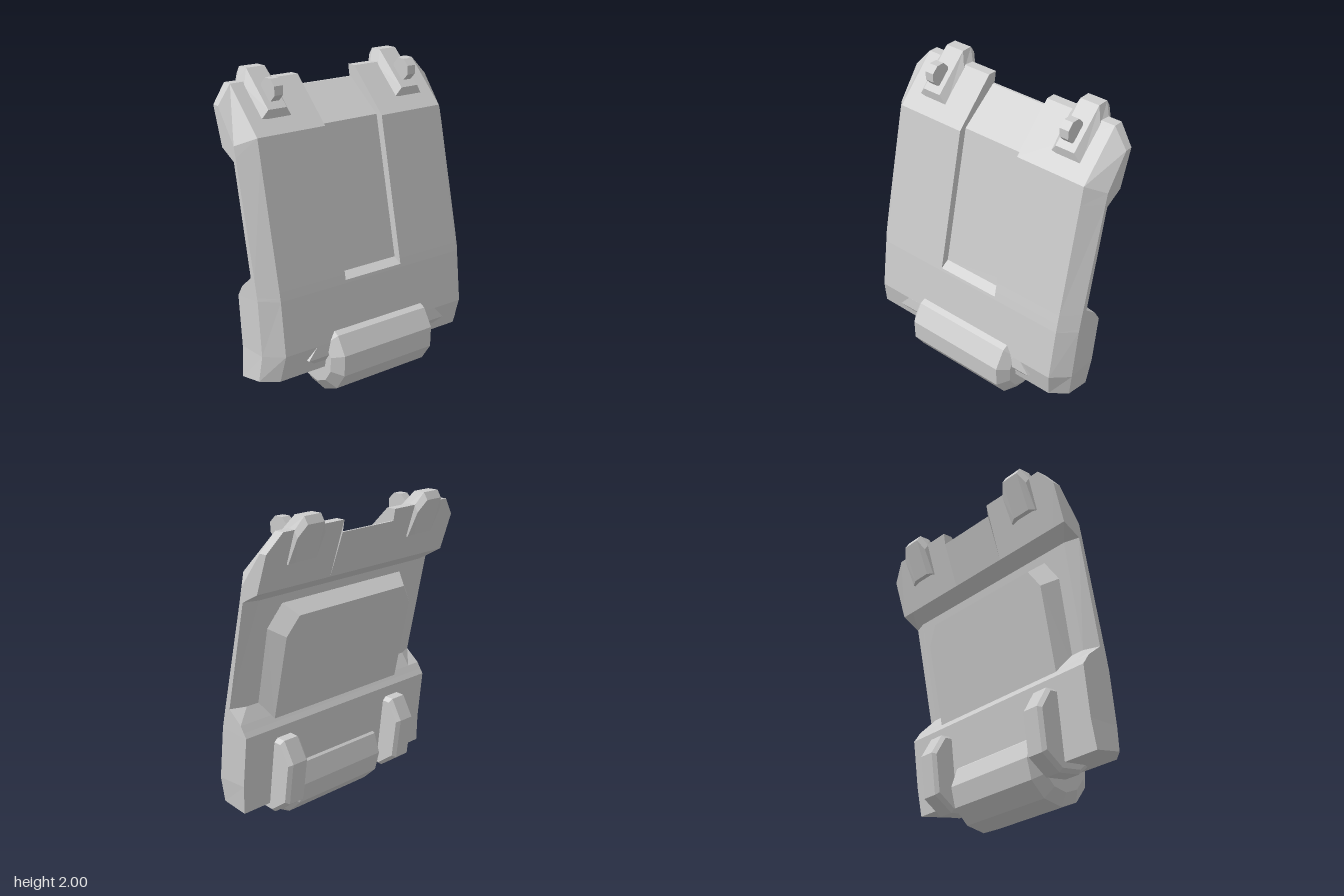
import * as THREE from 'three';

const grey = new THREE.MeshStandardMaterial({ color: 0xcccccc });

// Skin a list of equal-length, even-sized rings of [x, y, z] and cap both ends
function loft(rings) {
  const pos = [];
  const quad = (a, b, c, d) => pos.push(...a, ...b, ...c, ...a, ...c, ...d);
  const n = rings[0].length;
  for (let i = 0; i < rings.length - 1; i++) {
    for (let j = 0; j < n; j++) {
      const k = (j + 1) % n;
      quad(rings[i][j], rings[i][k], rings[i + 1][k], rings[i + 1][j]);
    }
  }
  const first = rings[0], last = rings[rings.length - 1];
  for (let k = 0; k < n / 2 - 1; k++) {
    quad(last[k], last[k + 1], last[n - 2 - k], last[n - 1 - k]);
    quad(first[n - 1 - k], first[n - 2 - k], first[k + 1], first[k]);
  }
  const g = new THREE.BufferGeometry();
  g.setAttribute('position', new THREE.Float32BufferAttribute(pos, 3));
  g.computeVertexNormals();
  return g;
}

// Flat facets on a built-in geometry
function faceted(g) {
  const flat = g.toNonIndexed();
  flat.computeVertexNormals();
  return flat;
}

// A clockwise [z, y] side profile placed at x
const sideRing = (profile, x) => profile.map(([z, y]) => [x, y, z]).reverse();

function bodyGeometry() {
  // Stations up the shell: front, side edge, back as [z, y]; channel depth, back chamfer, x shift
  const stations = [
    { f: [0.235, 0.20], s: [0.155, 0.20], b: [-0.02, 0.17], x: -0.015 },
    { f: [0.268, 0.365], s: [0.165, 0.36], b: [-0.042, 0.36], x: 0.005 },
    { f: [0.22, 0.70], s: [0.125, 0.70], b: [-0.08, 0.68] },
    { f: [0.216, 0.72], s: [0.12, 0.72], b: [-0.06, 0.71] },
    { f: [0.209, 0.755], s: [0.113, 0.755], b: [-0.035, 0.75], d: 0.05 },
    { f: [0.195, 0.82], s: [0.099, 0.82], b: [0.02, 0.83], d: 0.05, c: 0.04 },
    { f: [0.045, 1.53], s: [-0.06, 1.53], b: [-0.11, 1.505], d: 0.05, c: 0.03 },
    { f: [0.02, 1.65], s: [-0.077, 1.60], b: [-0.20, 1.57], d: 0.05 },
    { f: [-0.25, 1.925], s: [-0.23, 1.81], b: [-0.313, 1.925], top: true },
  ];
  return loft(stations.map(({ f, s, b, d = 0, c = 0, x = 0.01, top }) => {
    const chF = top ? [-0.285, 1.85] : [f[0] - d, f[1]];
    const chB = top ? [-0.30, 1.85] : b;
    const outer = top ? [-0.28, 1.81] : [b[0] + c, b[1]];
    const xs = [-0.81, -0.71, -0.22, -0.22, 0.225, 0.225, 0.71, 0.81];
    const row = (e, m, ch) => [e, m, m, ch, ch, m, m, e].map((p, i) => [xs[i] + x, p[1], p[0]]);
    return [...row(s, f, chF), ...row(outer, b, chB).reverse()];
  }));
}

function padGeometry() {
  // Plate with cut upper corners, leaning with the back
  const ring = (w, low, high, cut, zAt) => [
    [-w, low], [-w, high - cut], [-w + cut * 0.7, high],
    [w - cut * 0.7, high], [w, high - cut], [w, low],
  ].map(([x, y]) => [x + 0.01, y, zAt(y)]);
  return loft([
    ring(0.62, 0.70, 1.45, 0.14, (y) => -0.07 + (1.45 - y) * 0.2),
    ring(0.62, 0.70, 1.45, 0.14, (y) => -0.10 + (1.45 - y) * 0.2),
    ring(0.55, 0.70, 1.38, 0.12, (y) => -0.187 + (1.38 - y) * 0.211),
  ]);
}

function topClipGeometry() {
  const inner = [[-0.06, 1.72], [-0.05, 1.785], [-0.27, 2.0], [-0.345, 2.0], [-0.373, 1.955], [-0.28, 1.73]];
  const outer = [[-0.06, 1.72], [-0.065, 1.725], [-0.23, 1.90], [-0.31, 1.92], [-0.335, 1.88], [-0.26, 1.72]];
  return loft([
    sideRing(outer, -0.11), sideRing(inner, -0.066),
    sideRing(inner, 0.066), sideRing(outer, 0.11),
  ]);
}

function bracketGeometry() {
  const p = [[0.20, 0.21], [0.2, 0.36], [-0.07, 0.61], [-0.13, 0.605],
    [-0.205, 0.47], [-0.17, 0.20], [-0.04, 0.11], [0.11, 0.13]];
  const small = p.map(([z, y]) => [z * 0.9, 0.36 + (y - 0.36) * 0.91]);
  return loft([sideRing(small, -0.08), sideRing(p, -0.055), sideRing(p, 0.055), sideRing(small, 0.08)]);
}

function lipGeometry() {
  // Front lip behind the roller, narrowing downwards
  const level = (w, y, z) => [[-w, y, z], [w, y, z], [w, y, 0.18], [-w, y, 0.18]];
  return loft([level(0.49, 0.25, 0.246), level(0.55, 0.29, 0.275), level(0.48, 0.366, 0.268)]);
}

export function createModel() {
  const model = new THREE.Group();
  model.name = 'backPack';
  const add = (name, geometry, x = 0, y = 0, z = 0) => {
    const mesh = new THREE.Mesh(geometry, grey);
    mesh.name = name;
    mesh.position.set(x, y, z);
    model.add(mesh);
    return mesh;
  };

  add('bodyShell', bodyGeometry());
  add('backPad', padGeometry());
  add('frontLip', lipGeometry(), 0.01);

  // Faceted roller with bevelled ends
  const profile = [[0, -0.41], [0.165, -0.41], [0.237, -0.355], [0.237, 0.355], [0.165, 0.41], [0, 0.41]]
    .map(([r, h]) => new THREE.Vector2(r, h));
  const roller = add('roller', faceted(new THREE.LatheGeometry(profile, 11, 0.25)), 0.02, 0.236, 0.135);
  roller.rotation.z = Math.PI / 2;

  // Paired clips, hooks and lower brackets
  const clip = topClipGeometry();
  const bracket = bracketGeometry();
  const hook = faceted(new THREE.CylinderGeometry(0.073, 0.073, 0.062, 8, 1, false, Math.PI / 8));
  for (const [side, sign] of [['left', 1], ['right', -1]]) {
    add(side + 'TopClip', clip, 0.01 + sign * 0.515);
    add(side + 'Hook', hook, 0.01 + sign * 0.515, 1.893, -0.103).rotation.z = Math.PI / 2;
    add(side + 'LowerBracket', bracket, 0.01 + sign * 0.495);
  }
  return model;
}
